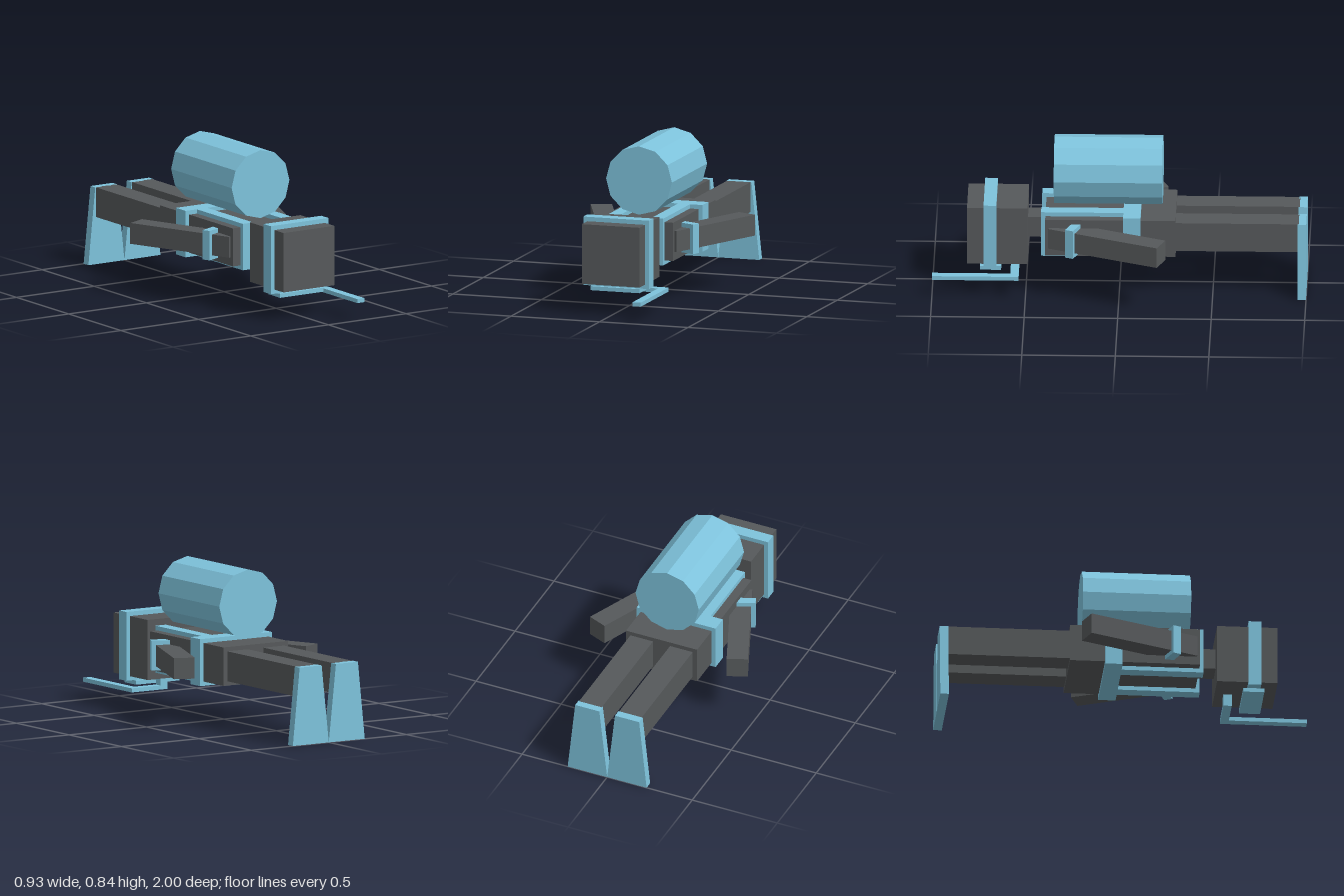
import * as THREE from 'three';

export function createModel() {
  const root = new THREE.Group();
  const suit = new THREE.MeshStandardMaterial({ color: 0x56595b, flatShading: true });
  const gear = new THREE.MeshStandardMaterial({ color: 0x7ec3dc, flatShading: true });

  function add(name, geometry, material, parent = root) {
    const mesh = new THREE.Mesh(geometry, material);
    mesh.name = name;
    parent.add(mesh);
    return mesh;
  }
  // box given by its lower and upper limits on each axis
  function block(name, material, [x0, x1], [y0, y1], [z0, z1]) {
    const mesh = add(name, new THREE.BoxGeometry(x1 - x0, y1 - y0, z1 - z0), material);
    mesh.position.set((x0 + x1) / 2, (y0 + y1) / 2, (z0 + z1) / 2);
    return mesh;
  }

  // body
  block('head', suit, [-0.163, 0.163], [0.163, 0.488], [0.49, 0.814]);
  block('neck', suit, [-0.065, 0.065], [0.281, 0.395], [0.39, 0.5]);
  block('torso', suit, [-0.209, 0.209], [0.235, 0.443], [-0.302, 0.395]);

  // air tank lying along the back, a vertex of its section on top
  const tankGeometry = new THREE.CylinderGeometry(0.186, 0.186, 0.58, 12);
  tankGeometry.rotateX(Math.PI / 2);
  add('airTank', tankGeometry, gear).position.set(0, 0.652, 0.06);

  // harness
  block('waistBelt', gear, [-0.232, 0.232], [0.212, 0.466], [-0.115, -0.022]);

  // diving mask and its strap
  block('maskStrap', gear, [-0.186, 0.186], [0.14, 0.512], [0.657, 0.725]);
  block('mask', gear, [-0.139, 0.139], [0.118, 0.14], [0.632, 0.745]);

  // snorkel: mouthpiece, cross bar and long pipe
  block('snorkelMouthpiece', gear, [0, 0.046], [0.118, 0.163], [0.537, 0.582]);
  block('snorkelCrossBar', gear, [0, 0.186], [0.096, 0.118], [0.537, 0.582]);
  block('snorkelPipe', gear, [0.186, 0.232], [0.096, 0.118], [0.537, 1]);

  for (const [side, s] of [['left', 1], ['right', -1]]) {
    const span = (a, b) => (s > 0 ? [a, b] : [-b, -a]);
    block(side + 'ShoulderStrap', gear, span(0.093, 0.16), [0.212, 0.466], [-0.07, 0.418]);
    block(side + 'Leg', suit, span(0.05, 0.183), [0.258, 0.42], [-0.96, -0.3]);

    // fin widening towards its tip
    const fin = new THREE.Shape([
      [0, 0], [0.232, 0], [0.188, 0.42], [0.046, 0.42],
    ].map(([x, y]) => new THREE.Vector2(s * x, y)));
    const finGeometry = new THREE.ExtrudeGeometry(fin, { depth: 0.046, bevelEnabled: false });
    add(side + 'Fin', finGeometry, gear).position.z = -1;

    // arm swept back, with a band around it
    const arm = new THREE.Group();
    arm.name = side + 'ArmGroup';
    arm.position.set(s * 0.29, 0.338, 0.064);
    arm.rotation.y = -s * Math.PI / 8;
    root.add(arm);
    add(side + 'Arm', new THREE.BoxGeometry(0.114, 0.114, 0.635), suit, arm);
    add(side + 'ArmBand', new THREE.BoxGeometry(0.161, 0.161, 0.046), gear, arm).position.z = 0.185;
  }

  return root;
}
